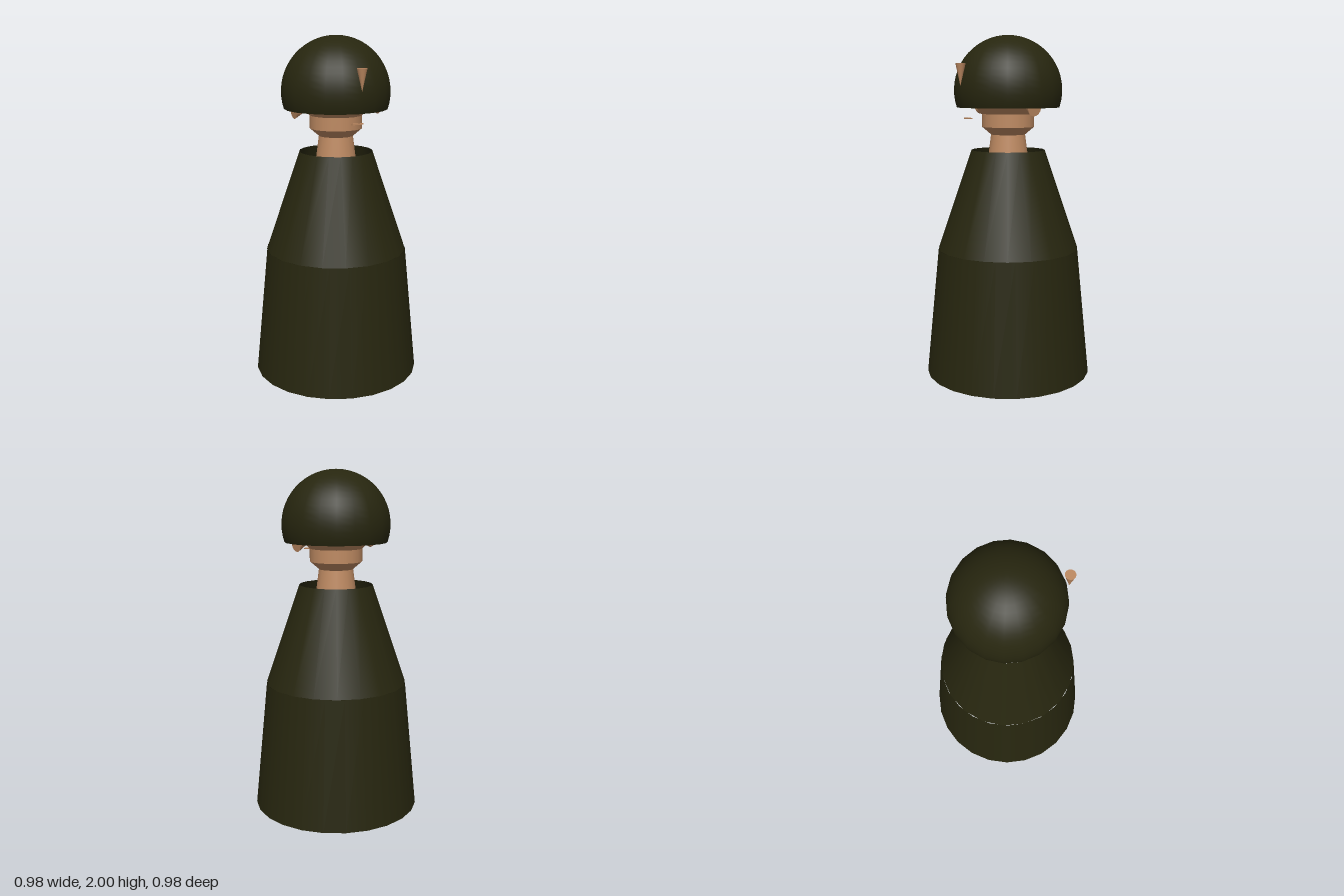
import * as THREE from 'three';

const cloth = new THREE.MeshStandardMaterial({ color: 0x27260f, side: THREE.DoubleSide });
cloth.name = 'darkOlive';
const skin = new THREE.MeshStandardMaterial({ color: 0xbe8a62, side: THREE.DoubleSide });
skin.name = 'tan';

export function createModel() {
  const group = new THREE.Group();

  function add(name, geometry, material, x = 0, y = 0, z = 0) {
    const mesh = new THREE.Mesh(geometry, material);
    mesh.name = name;
    mesh.position.set(x, y, z);
    group.add(mesh);
    return mesh;
  }

  // Open tapered tube between two heights
  function tube(name, material, rBottom, yBottom, rTop, yTop, sides) {
    const h = yTop - yBottom;
    const geometry = new THREE.CylinderGeometry(rTop, rBottom, h, sides, 1, true);
    return add(name, geometry, material, 0, yBottom + h / 2, 0);
  }

  // Hollow coat
  tube('coatSkirt', cloth, 0.49, 0, 0.415, 0.755, 24);
  tube('coatShoulders', cloth, 0.415, 0.755, 0.215, 1.34, 20);

  // Neck and head, flaring up into the helmet
  tube('neck', skin, 0.125, 1.24, 0.1, 1.43, 20);
  tube('chin', skin, 0.1, 1.43, 0.153, 1.475, 20);
  tube('jaw', skin, 0.153, 1.475, 0.153, 1.55, 20);
  tube('cheeks', skin, 0.153, 1.55, 0.27, 1.665, 20);

  // Domed helmet, open below
  add('helmet', new THREE.SphereGeometry(0.315, 20, 16, 0, Math.PI * 2, 0, Math.PI * 0.6),
    cloth, 0, 1.685, 0);

  // Nose spike, point down
  const nose = add('nose', new THREE.ConeGeometry(0.029, 0.125, 16), skin, 0, 1.772, 0.325);
  nose.rotation.x = Math.PI - 0.02;

  // Ears: cones with the broad end outward
  for (const side of [-1, 1]) {
    const ear = add(side > 0 ? 'leftEar' : 'rightEar',
      new THREE.ConeGeometry(0.045, 0.1, 16), skin, side * 0.22, 1.593, 0.012);
    ear.rotation.z = side * (Math.PI / 2 - 0.12);
  }

  // Thin floating mouth
  add('mouth', new THREE.BoxGeometry(0.07, 0.007, 0.012), skin, 0, 1.53, 0.275);

  return group;
}
